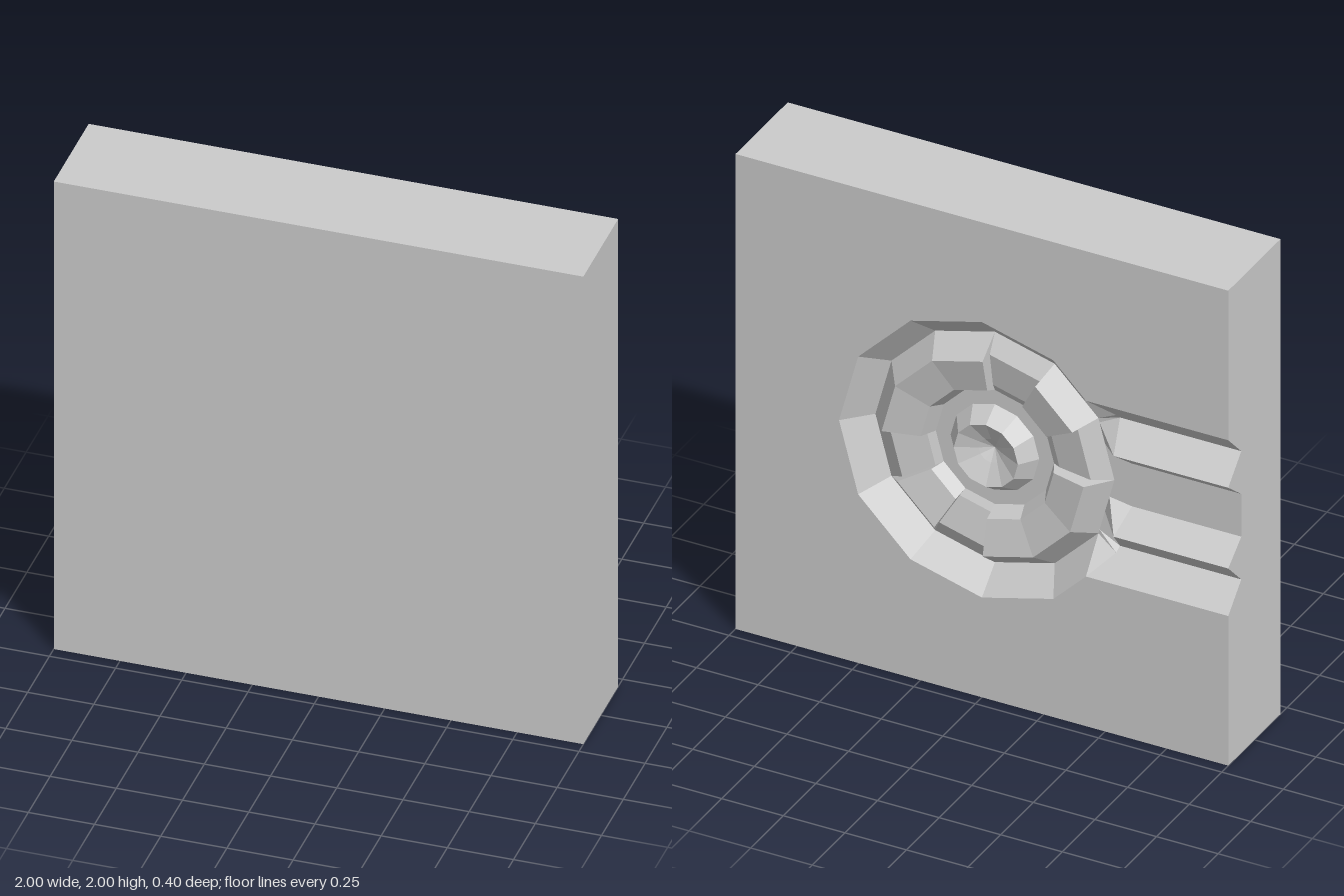
import * as THREE from 'three';

const CY = 1, BACK = -0.2, R = 0.58;
const mat = new THREE.MeshStandardMaterial({ color: 0xcccccc, flatShading: true, side: THREE.DoubleSide });

// Half of the channel cross-section: [distance from the centre line, depth]
const half = [[0.09, 0.1], [0.17, 0], [0.27, 0.1], [0.29, 0.08], [0.37, 0]];
const channel = [...half.map(([y, d]) => [-y, d]).reverse(), ...half];

// Recess rings: [radius, depth in raised sectors, depth in lowered sectors]
const rings = [
  [R, 0, 0], [0.485, 0.1, 0.1], [0.41, 0.005, 0.06], [0.27, 0.04, 0.085],
  [0.24, 0.1, 0.1], [0.18, 0.1, 0.1], [0.13, 0.03, 0.03], [0.05, 0.07, 0.07], [0, 0.1, 0.1],
];

// Radius of the twelve-sided outline at an angle, relative to its corners
const STEP = Math.PI / 6;
function facet(a) {
  const t = ((a % STEP) + STEP) % STEP;
  return Math.cos(STEP / 2) / Math.cos(t - STEP / 2);
}

// x of the outline on the channel side for a height above the centre
function rimX(y) {
  const h = Math.abs(y), y1 = R / 2, x1 = R * Math.cos(STEP);
  return h <= y1
    ? -(R + (x1 - R) * h / y1)
    : -(x1 + (y1 - x1) * (h - y1) / (x1 - y1));
}

// Surface from rows of points
function loft(name, rows) {
  const pos = [], idx = [], n = rows[0].length;
  rows.forEach(row => row.forEach(p => pos.push(...p)));
  for (let i = 0; i < rows.length - 1; i++) {
    for (let j = 0; j < n - 1; j++) {
      const a = i * n + j, b = a + n;
      idx.push(a, b, a + 1, b, b + 1, a + 1);
    }
  }
  const g = new THREE.BufferGeometry();
  g.setAttribute('position', new THREE.Float32BufferAttribute(pos, 3));
  g.setIndex(idx);
  g.computeVertexNormals();
  const mesh = new THREE.Mesh(g, mat);
  mesh.name = name;
  return mesh;
}

function shapeMesh(name, points) {
  const mesh = new THREE.Mesh(new THREE.ShapeGeometry(new THREE.Shape(points.map(p => new THREE.Vector2(...p)))), mat);
  mesh.name = name;
  return mesh;
}

function plane(name, w, h, place) {
  const mesh = new THREE.Mesh(new THREE.PlaneGeometry(w, h), mat);
  mesh.name = name;
  place(mesh);
  return mesh;
}

// Ring recess with stepped sectors and a dished hub
function makeRecess() {
  const angles = [];
  for (let i = 0; i <= 12; i++) angles.push(i * STEP);
  channel.forEach(([y]) => {
    if (Math.abs(y) !== 0.29) angles.push(Math.atan2(y, rimX(y)) + (y < 0 ? 2 * Math.PI : 0));
  });
  angles.sort((a, b) => a - b);

  // 0 = raised, 1 = lowered; the middle of each lowered quarter is a low block
  const level = a => {
    const s = Math.floor(a / STEP) % 6;
    return s < 3 ? 0 : s === 4 ? 0.3 : 1;
  };
  const depthAtRim = a => {
    const y = R * facet(a) * Math.sin(a);
    if (Math.cos(a) > 0 || Math.abs(y) > 0.37) return 0;
    const k = channel.findIndex(([cy]) => cy >= y - 1e-6);
    if (k < 1) return 0;
    const [y0, d0] = channel[k - 1], [y1, d1] = channel[k];
    return d0 + (d1 - d0) * (y - y0) / (y1 - y0);
  };
  const columns = [];
  for (let i = 0; i < angles.length - 1; i++) {
    const low = level((angles[i] + angles[i + 1]) / 2);
    for (const a of [angles[i], angles[i + 1]]) {
      columns.push(rings.map(([r, dr, dl], k) => {
        const q = r * facet(a);
        const d = k === 0 ? depthAtRim(a) : dr + (dl - dr) * low;
        return [q * Math.cos(a), CY + q * Math.sin(a), BACK + d];
      }));
    }
  }
  return loft('ringRecess', columns);
}

export function createModel() {
  const group = new THREE.Group();
  group.name = 'mouldBlock';

  // Plain outer faces
  group.add(plane('frontFace', 2, 2, m => m.position.set(0, 1, 0.2)));
  group.add(plane('topFace', 2, 0.4, m => { m.position.y = 2; m.rotation.x = -Math.PI / 2; }));
  group.add(plane('bottomFace', 2, 0.4, m => { m.rotation.x = Math.PI / 2; }));
  group.add(plane('plainSide', 0.4, 2, m => { m.position.set(1, 1, 0); m.rotation.y = Math.PI / 2; }));

  // Side face notched by the channel ends
  const side = shapeMesh('notchedSide', [
    [0.2, 0], [0.2, 2], [BACK, 2],
    ...channel.map(([y, d]) => [BACK + d, CY + y]).reverse(), [BACK, 0],
  ]);
  side.rotation.y = -Math.PI / 2;
  side.position.x = -1;
  group.add(side);

  // Back face wrapped around the recess and channel
  const rim = [];
  for (let i = -4; i <= 4; i++) rim.push([R * Math.cos(i * STEP), CY + R * Math.sin(i * STEP)]);
  const top = [rimX(0.37), CY + 0.37], bottom = [rimX(0.37), CY - 0.37];
  const back = shapeMesh('backFace', [
    [-1, 0], [1, 0], [1, 2], [-1, 2], [-1, top[1]], top,
    ...rim.reverse(), bottom, [-1, bottom[1]],
  ].map(([x, y]) => [-x, y]));
  back.rotation.y = Math.PI;
  back.position.z = BACK;
  group.add(back);

  // Grooves running out to the side
  group.add(loft('channel', [
    channel.map(([y, d]) => [-1, CY + y, BACK + d]),
    channel.map(([y, d]) => [rimX(y), CY + y, BACK + d]),
  ].reverse()));

  group.add(makeRecess());
  return group;
}
